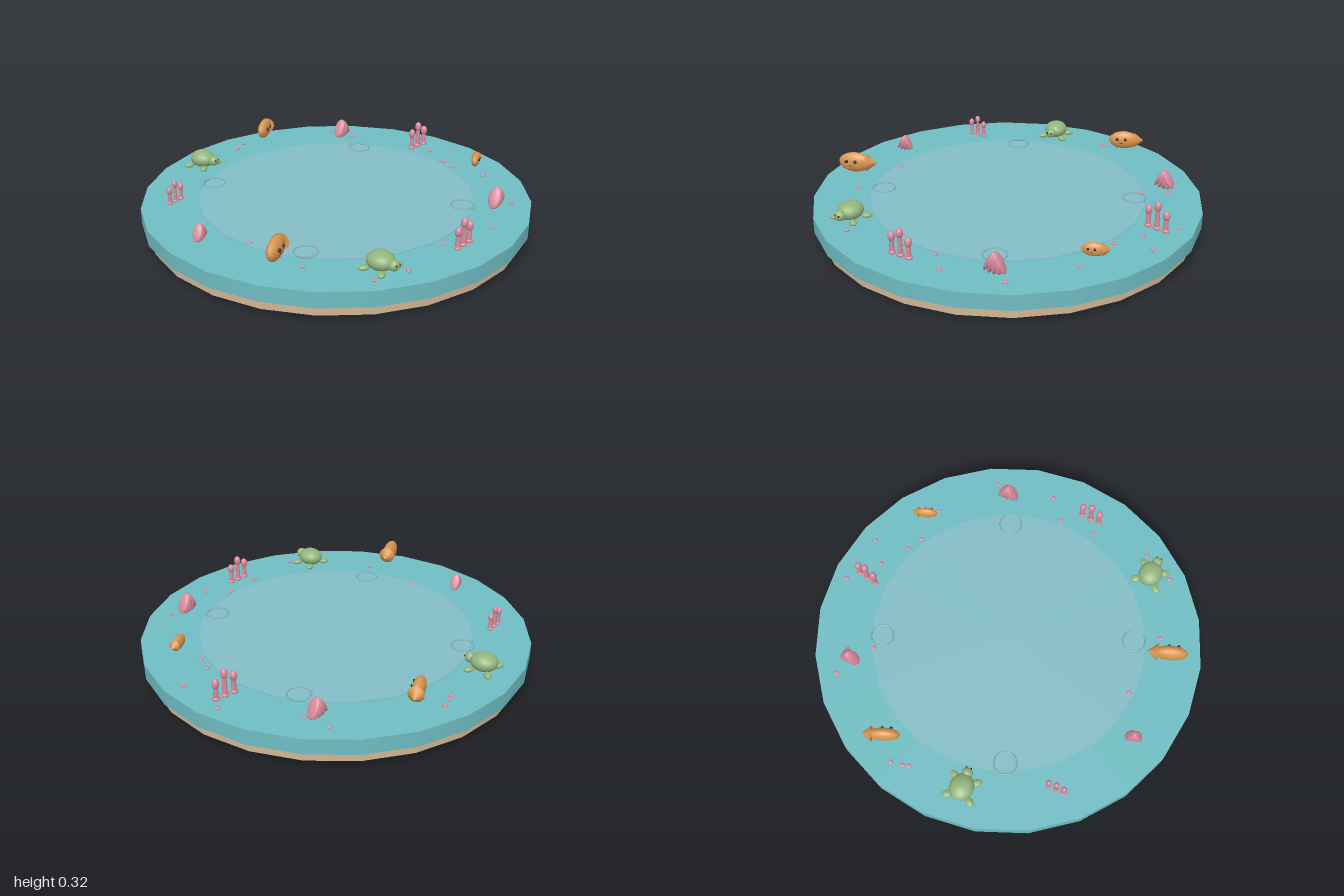
import * as THREE from 'three';

const mat = (color) => new THREE.MeshStandardMaterial({ color });
const TEAL = mat(0x6fbcc2), POOL = mat(0x83bcc6), SAND = mat(0xd0b595), ORANGE = mat(0xd9964f);
const PINK = mat(0xd98a9c), GREEN = mat(0x93b57c), DARK = mat(0x2a2320), RING = mat(0x7fb2bb);
const TOP = 0.165;

function add(parent, name, geometry, material, x = 0, y = 0, z = 0) {
  const m = new THREE.Mesh(geometry, material);
  m.name = name;
  m.position.set(x, y, z);
  parent.add(m);
  return m;
}

function ball(parent, name, material, [x, y, z], [rx, ry, rz]) {
  const m = add(parent, name, new THREE.SphereGeometry(1, 16, 12), material, x, y, z);
  m.scale.set(rx, ry, rz);
  return m;
}

function place(parent, name, x, y, z, turn = 0, size = 1) {
  const g = new THREE.Group();
  g.name = name;
  g.position.set(x, y, z);
  g.rotation.y = turn;
  g.scale.setScalar(size);
  parent.add(g);
  return g;
}

// eyes and a small smile on the +z side
function face(g, x, y, z, gap, r) {
  for (const s of [-1, 1]) ball(g, 'eye', DARK, [x + s * gap, y, z], [r, r, r]);
  const smile = add(g, 'mouth', new THREE.TorusGeometry(r * 0.9, r * 0.25, 6, 10, Math.PI), DARK, x, y - r * 2, z);
  smile.rotation.z = Math.PI;
}

function fish(parent, x, y, z, turn, size) {
  const g = place(parent, 'fish', x, y, z, turn, size);
  ball(g, 'fishBody', ORANGE, [0, 0, 0], [0.088, 0.054, 0.034]);
  const tail = add(g, 'fishTail', new THREE.ConeGeometry(0.044, 0.055, 12), ORANGE, 0.092);
  tail.rotation.z = -Math.PI / 2;
  face(g, -0.015, 0.012, 0.031, 0.024, 0.009);
}

function turtle(parent, x, z, turn) {
  const g = place(parent, 'turtle', x, TOP, z, turn);
  ball(g, 'turtleShell', GREEN, [0, 0.05, 0], [0.062, 0.046, 0.07]);
  ball(g, 'turtleHead', GREEN, [0, 0.05, 0.075], [0.028, 0.027, 0.027]);
  face(g, 0, 0.057, 0.098, 0.012, 0.005);
  for (const sx of [-1, 1]) for (const sz of [-1, 1]) {
    const f = ball(g, 'flipper', GREEN, [sx * 0.058, 0.018, sz * 0.05], [0.028, 0.013, 0.019]);
    f.rotation.y = -sx * sz * 0.6;
  }
}

// three ball-topped stems in a row
function coral(parent, x, z, turn, size) {
  const g = place(parent, 'coral', x, TOP, z, turn, size);
  [[-0.05, 0.09], [0, 0.12], [0.05, 0.085]].forEach(([sx, h]) => {
    add(g, 'coralStem', new THREE.CylinderGeometry(0.01, 0.014, h, 10), PINK, sx, h / 2);
    ball(g, 'coralTip', PINK, [sx, h, 0], [0.018, 0.026, 0.018]);
    ball(g, 'coralFoot', PINK, [sx, 0.006, 0], [0.02, 0.012, 0.018]);
  });
}

// ribs spreading downward from one hinge
function fanShell(parent, x, z, turn, size) {
  const g = place(parent, 'fanShell', x, TOP, z, turn, size);
  for (let i = -2; i <= 2; i++) {
    const a = i * 0.24;
    const rib = ball(g, 'shellRib', PINK, [Math.sin(a) * 0.055, 0.11 - Math.cos(a) * 0.055, 0], [0.013, 0.057, 0.032]);
    rib.rotation.z = a;
  }
}

export function createModel() {
  const model = new THREE.Group();
  model.name = 'oceanPlatter';

  // stepped base, rim and pool
  const disc = (name, r, y0, y1, m) =>
    add(model, name, new THREE.CylinderGeometry(r, r, y1 - y0, 24), m, 0, (y0 + y1) / 2);
  disc('foot', 0.92, 0, 0.032, SAND);
  disc('sandLayer', 0.97, 0.03, 0.088, SAND);
  disc('waterRim', 1, 0.085, TOP, TEAL);
  disc('pool', 0.708, 0.16, TOP + 0.003, POOL);

  // ripples around the pool edge
  for (const [x, z] of [[-0.26, -0.61], [0.6, -0.26], [-0.6, 0.25], [0.26, 0.6]]) {
    const r = add(model, 'ripple', new THREE.TorusGeometry(0.058, 0.004, 6, 24), RING, x, TOP + 0.004, z);
    r.rotation.x = Math.PI / 2;
  }

  // sea life
  fish(model, -0.795, 0.267, 0.23, 0.33, 1);
  fish(model, 0.335, 0.262, -0.745, 0.38, 0.92);
  fish(model, 0.685, 0.235, 0.445, 0.33, 0.65);
  turtle(model, -0.54, 0.62, -0.1);
  turtle(model, -0.12, -0.815, 0.06);
  coral(model, 0.82, 0, -0.2, 1);
  coral(model, -0.12, 0.81, -0.08, 0.98);
  coral(model, -0.54, -0.625, 0, 0.8);
  fanShell(model, 0.34, 0.745, 0.1, 1);
  fanShell(model, 0.69, -0.445, -0.05, 0.95);
  fanShell(model, -0.79, -0.23, 0.25, 0.8);

  // scattered pebbles
  const pebbles = [
    [0.17, -0.82], [0.2, -0.83], [0.26, -0.84], [0.72, -0.54], [0.73, -0.4], [0.61, -0.34], [0.92, -0.05],
    [0.79, 0.1], [0.88, 0.21], [0.7, 0.24], [0.66, 0.32], [0.65, 0.51], [0.02, 0.73], [-0.17, 0.73],
    [0.11, 0.84], [0.42, 0.79], [-0.68, -0.02], [-0.72, 0.32], [-0.64, 0.65], [-0.48, 0.73],
  ];
  for (const [x, z] of pebbles) ball(model, 'pebble', PINK, [x, TOP + 0.004, z], [0.012, 0.007, 0.012]);

  return model;
}
